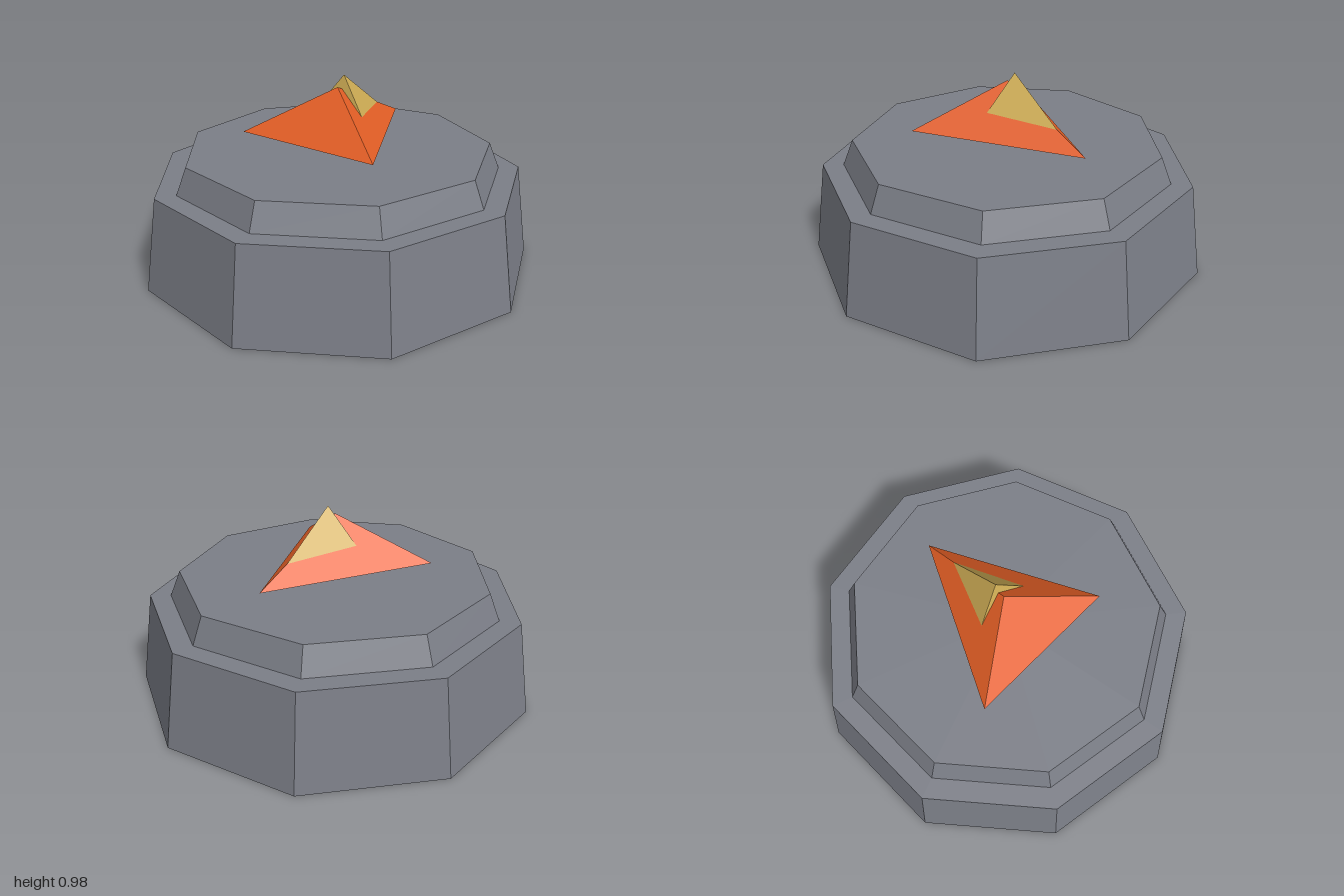
import * as THREE from 'three';

const CENTER_X = -0.03;

// Three-sided pyramid; corners run counter-clockwise seen from above.
function pyramid(left, right, back, apex) {
  const faces = [left, right, apex, right, back, apex, back, left, apex, left, back, right];
  const geometry = new THREE.BufferGeometry();
  geometry.setAttribute('position', new THREE.Float32BufferAttribute(faces.flat(), 3));
  geometry.computeVertexNormals();
  return geometry;
}

// Tapered nine-sided tier with one corner pointing to +x.
function tier(topRadius, bottomRadius, y0, y1) {
  const geometry = new THREE.CylinderGeometry(topRadius, bottomRadius, y1 - y0, 9, 1, false, Math.PI / 2);
  geometry.translate(CENTER_X, (y0 + y1) / 2, 0);
  return geometry;
}

export function createModel() {
  const group = new THREE.Group();
  const material = (name, color) => {
    const m = new THREE.MeshStandardMaterial({ color, flatShading: true });
    m.name = name;
    return m;
  };
  const stone = material('stoneGrey', 0x7b7e87);
  const orange = material('orange', 0xe25e25);
  const gold = material('gold', 0xd0ae55);

  const add = (name, geometry, mat) => {
    const mesh = new THREE.Mesh(geometry, mat);
    mesh.name = name;
    group.add(mesh);
  };

  // Stepped pedestal
  add('lowerTier', tier(0.947, 1.0154, 0, 0.477), stone);
  add('upperTier', tier(0.787, 0.841, 0.477, 0.612), stone);

  // Floating arrowhead, pointing to the back
  add('arrowhead', pyramid(
    [CENTER_X - 0.403, 0.68, 0.267], [CENTER_X + 0.403, 0.68, 0.267],
    [CENTER_X, 0.68, -0.538], [CENTER_X, 0.922, 0]), orange);

  // Golden fin, its base sunk into the arrowhead
  add('fin', pyramid(
    [CENTER_X - 0.203, 0.712, 0.01], [CENTER_X + 0.203, 0.712, 0.01],
    [CENTER_X, 0.705, -0.434], [CENTER_X, 0.975, -0.053]), gold);

  return group;
}
